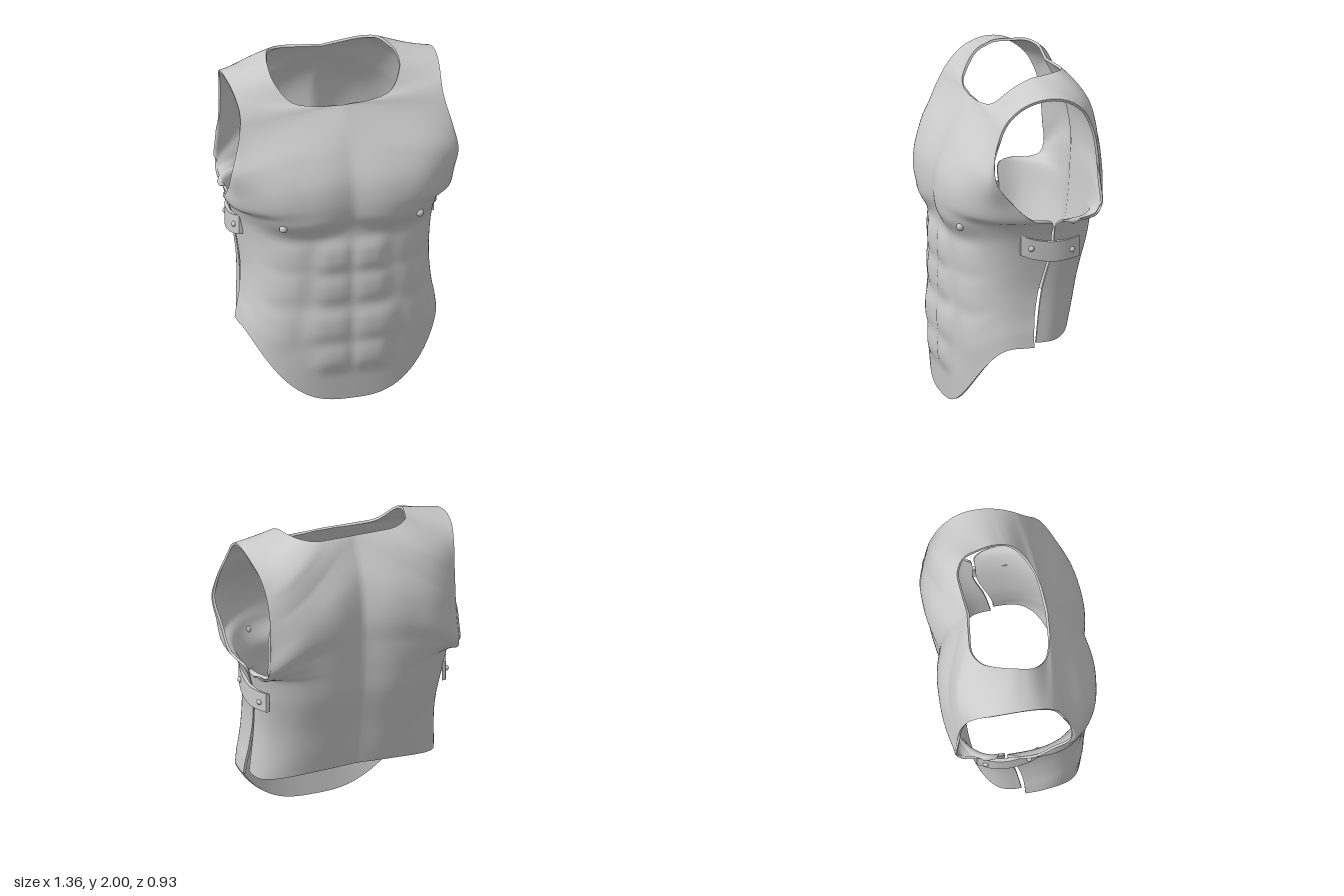
import * as THREE from 'three';
import { mergeGeometries } from 'three/addons/utils/BufferGeometryUtils.js';

const THICKNESS = 0.015, NU = 40, SUB = 7, POWER = 3;
const { lerp, smoothstep } = THREE.MathUtils;
const material = new THREE.MeshStandardMaterial({ color: 0xcccccc, side: THREE.DoubleSide });

// Key rows [inner xyz, outer xyz]. Inner runs along the centre line and neck,
// outer along the side seam and armhole.
const frontRows = [
  [0, 0, .375, .59, .42, -.01],
  [0, .18, .39, .578, .5, -.013],
  [0, .36, .395, .562, .58, -.02],
  [0, .54, .395, .553, .66, -.03],
  [0, .72, .395, .548, .76, -.05],
  [0, .86, .395, .555, .87, -.08],
  [0, 1, .395, .572, 1, -.11],
  [0, 1.1, .4, .595, 1.1, -.115],
  [0, 1.18, .41, .625, 1.17, -.12],
  [0, 1.28, .415, .665, 1.21, .01],
  [0, 1.4, .4, .67, 1.32, .13],
  [0, 1.55, .345, .68, 1.46, .235],
  [0, 1.68, .285, .65, 1.6, .24],
  [0, 1.8, .215, .62, 1.72, .205],
  [.17, 1.805, .2, .61, 1.79, .17],
  [.3, 1.83, .16, .613, 1.845, .125],
  [.38, 1.93, .07, .625, 1.905, .04],
];
const backRows = [
  [.385, 1.985, -.03, .635, 1.935, -.08],
  [.365, 1.995, -.13, .63, 1.915, -.2],
  [.33, 2, -.22, .605, 1.84, -.3],
  [.25, 1.99, -.268, .588, 1.75, -.345],
  [.12, 1.982, -.265, .58, 1.66, -.37],
  [0, 1.975, -.255, .577, 1.55, -.385],
  [0, 1.75, -.36, .58, 1.39, -.4],
  [0, 1.5, -.405, .59, 1.26, -.41],
  [0, 1.33, -.4, .6, 1.2, -.37],
  [0, 1.22, -.395, .61, 1.175, -.25],
  [0, 1.15, -.39, .61, 1.17, -.137],
  [0, 1, -.375, .572, 1, -.125],
  [0, .75, -.325, .548, .75, -.064],
  [0, .51, -.285, .56, .44, -.027],
];
const NECK = 13, NAPE = 22, LAST = 30;   // row numbers where the neck opening starts and ends

// Muscle swellings: [x, y, radius x, radius down, radius up, depth, lift at the sides]
const frontMuscles = [
  [.3, 1.2, .29, .12, .38, .05, .05],     // chest
  [.105, .92, .11, .1, .095, .028, 0],    // abdomen
  [.11, .715, .115, .095, .09, .024, 0],
  [.135, .48, .145, .105, .105, .03, 0],
  [.11, .285, .115, .085, .08, .025, 0],
  [.37, .93, .12, .09, .08, .012, .02],   // flanks
  [.39, .72, .12, .1, .1, .013, .03],
  [.42, .48, .1, .13, .1, .013, .03],
];
const backMuscles = [
  [.3, 1.45, .26, .4, .42, -.05, 0],      // shoulder blades
  [.27, .85, .22, .4, .3, -.03, 0],       // lower back
];

function swelling(list, x, y) {
  let sum = 0;
  for (const [cx, cy, rx, down, up, depth, lift] of list) {
    const dx = Math.abs(x - cx) / rx, h = y - cy - lift * dx * dx;
    const dy = Math.abs(h) / (h < 0 ? down : up);
    sum += depth * Math.exp(-(dx ** 3.2) - dy ** 3.2);
  }
  return sum;
}

function grid(positions, nt) {
  const index = [];
  for (let j = 0; j < nt; j++) for (let i = 0; i < NU; i++) {
    const a = j * (NU + 1) + i, c = a + NU + 1;
    index.push(a, a + 1, c + 1, a, c + 1, c);
  }
  const g = new THREE.BufferGeometry();
  g.setAttribute('position', new THREE.Float32BufferAttribute(positions, 3));
  g.setIndex(index);
  g.computeVertexNormals();
  return g;
}

// Half of the breastplate and backplate, joined over the shoulder
function halfShell() {
  const rows = [...frontRows, ...backRows];
  const curve = (from, to, k) => new THREE.CatmullRomCurve3(
    rows.slice(from, to + 1).map(r => new THREE.Vector3(r[k], r[k + 1], r[k + 2])));
  const outer = curve(0, LAST, 3);
  const innerPieces = [[0, NECK], [NECK, NAPE], [NAPE, LAST]]
    .map(([from, to]) => ({ from, to, path: curve(from, to, 0) }));
  const nt = LAST * SUB, pos = [];
  for (let j = 0; j <= nt; j++) {
    const f = j / SUB, piece = innerPieces.find(q => f <= q.to);
    const a = piece.path.getPoint((f - piece.from) / (piece.to - piece.from));
    const b = outer.getPoint(j / nt);
    const muscles = f < frontRows.length - 0.5 ? frontMuscles : backMuscles;
    // Rows across the shoulder run nearly straight; others wrap round the body
    const straight = smoothstep(f, 11, NECK) * (1 - smoothstep(f, NAPE, 25));
    const bow = straight * smoothstep(f, 18, 20.5) * 0.2;
    for (let i = 0; i <= NU; i++) {
      const w = (i / NU) ** 1.4, angle = w * Math.PI / 2;
      const s = Math.sin(angle) ** (2 / POWER);
      const c = Math.max(0, Math.cos(angle)) ** (2 / POWER);
      const x = lerp(a.x, b.x, s);
      const y = lerp(a.y, b.y, lerp(smoothstep(w * 1.1, 0, 1), s, straight));
      const z = lerp(b.z, a.z, lerp(c, 1 - s, straight)) - bow * s * (1 - s);
      pos.push(x, y, z + swelling(muscles, x, y));
    }
  }
  const outside = grid(pos, nt), p = outside.attributes.position, n = outside.attributes.normal;
  const v = new THREE.Vector3(), inPos = [];
  for (let k = 0; k < p.count; k++) {
    v.fromBufferAttribute(n, k);
    if (p.getX(k) < 1e-4) v.setX(0).normalize();
    n.setXYZ(k, v.x, v.y, v.z);
    inPos.push(p.getX(k) - v.x * THICKNESS, p.getY(k) - v.y * THICKNESS, p.getZ(k) - v.z * THICKNESS);
  }
  const inside = grid(inPos, nt), m = inside.attributes.normal;
  for (let k = 0; k < m.count; k++) m.setXYZ(k, -n.getX(k), -n.getY(k), -n.getZ(k));
  flip(inside);

  // Rim joining the outer and inner skins around hem, seam, armhole and neck
  const loop = [], id = (i, j) => j * (NU + 1) + i;
  for (let i = 0; i < NU; i++) loop.push(id(i, 0));
  for (let j = 0; j < nt; j++) loop.push(id(NU, j));
  for (let i = NU; i > 0; i--) loop.push(id(i, nt));
  for (let j = nt; j >= 0; j--) loop.push(id(0, j));
  const rimPos = [], rimIndex = [];
  loop.forEach((k, q) => {
    rimPos.push(p.getX(k), p.getY(k), p.getZ(k), ...inPos.slice(k * 3, k * 3 + 3));
    const next = loop[q + 1];
    if (next === undefined || (p.getX(k) < 1e-4 && p.getX(next) < 1e-4)) return;
    const o = q * 2;
    rimIndex.push(o, o + 1, o + 3, o, o + 3, o + 2);
  });
  const rim = new THREE.BufferGeometry();
  rim.setAttribute('position', new THREE.Float32BufferAttribute(rimPos, 3));
  rim.setIndex(rimIndex);
  rim.computeVertexNormals();
  return mergeGeometries([outside, inside, rim]);
}

function flip(g) {
  const a = g.index.array;
  for (let k = 0; k < a.length; k += 3) [a[k], a[k + 1]] = [a[k + 1], a[k]];
  return g;
}

// Leather strap bent around the side seam
function strapGeometry() {
  const path = new THREE.CatmullRomCurve3([
    [.575, 1.045, .07], [.59, 1.02, 0], [.598, 1, -.11], [.586, 1, -.2], [.548, 1.005, -.29],
  ].map(q => new THREE.Vector3(...q)));
  const g = new THREE.BoxGeometry(.022, .12, 1, 1, 1, 20), p = g.attributes.position;
  for (let k = 0; k < p.count; k++) {
    const c = path.getPoint(0.5 - p.getZ(k));
    p.setXYZ(k, c.x + p.getX(k), c.y + p.getY(k), c.z);
  }
  g.computeVertexNormals();
  return g;
}

export function createModel() {
  const model = new THREE.Group();
  model.name = 'muscleCuirass';
  const stud = (x, y, z, r) => new THREE.SphereGeometry(r, 14, 10).translate(x, y, z);
  const parts = {
    Shell: halfShell(),
    Strap: strapGeometry(),
    StrapRivets: mergeGeometries([stud(.6, 1.025, .01, .017), stud(.58, .995, -.24, .017)]),
    Nipple: stud(.41, 1.135, .383, .024),
  };
  for (const [name, geometry] of Object.entries(parts)) {
    const left = new THREE.Mesh(geometry, material);
    left.name = 'left' + name;
    const right = new THREE.Mesh(flip(geometry.clone().scale(-1, 1, 1)), material);
    right.name = 'right' + name;
    model.add(left, right);
  }
  return model;
}
